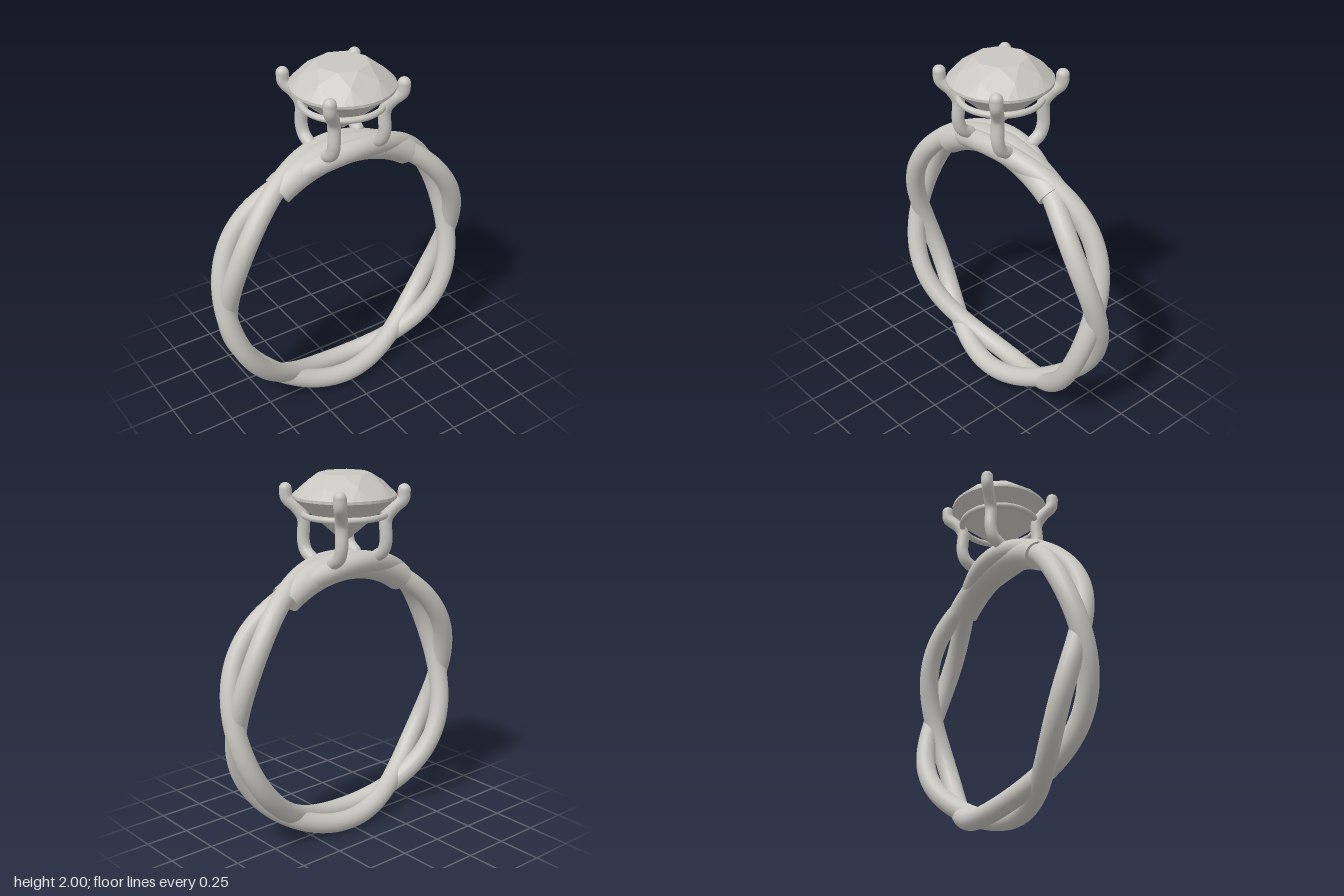
import * as THREE from 'three';

const CENTER_Y = 0.79;

// Closed path of one twisting strand; phase PI gives its partner
class StrandCurve extends THREE.Curve {
  constructor(phase) {
    super();
    this.phase = phase;
  }
  getPoint(t, target = new THREE.Vector3()) {
    const a = t * Math.PI * 2;
    const twist = 3 * a + this.phase;
    const r = 0.735 + 0.012 * Math.cos(twist);
    return target.set(r * Math.cos(a), CENTER_Y + r * Math.sin(a), 0.073 * Math.sin(twist));
  }
}

// Circular arc of the band in the xy plane
class ArcCurve extends THREE.Curve {
  constructor(radius, from, to) {
    super();
    Object.assign(this, { radius, from, to });
  }
  getPoint(t, target = new THREE.Vector3()) {
    const a = this.from + (this.to - this.from) * t;
    return target.set(this.radius * Math.cos(a), CENTER_Y + this.radius * Math.sin(a), 0);
  }
}

function addMesh(parent, name, geometry, material) {
  const mesh = new THREE.Mesh(geometry, material);
  mesh.name = name;
  parent.add(mesh);
  return mesh;
}

// Faceted round brilliant: table, stars, kites, girdle and pavilion
function gemGeometry() {
  const pos = [];
  const tri = (...pts) => pts.forEach((p) => pos.push(p.x, p.y, p.z));
  const at = (step, r, y) => {
    const a = (step / 32) * Math.PI * 2;
    return new THREE.Vector3(r * Math.sin(a), y, r * Math.cos(a));
  };
  const table = (s) => at(s, 0.137, 2);
  const mid = (s) => at(s, 0.215, 1.95);
  const rim = (s) => at(s, 0.275, 1.887);
  const lower = (s) => at(s, 0.275, 1.872);
  const culet = (s) => at(s, 0.012, 1.64);
  const top = new THREE.Vector3(0, 2, 0);
  const bottom = new THREE.Vector3(0, 1.64, 0);
  for (let s = 0; s < 32; s += 4) {
    tri(top, table(s), table(s + 4));
    tri(table(s), mid(s + 2), table(s + 4));
    tri(table(s), mid(s - 2), rim(s));
    tri(table(s), rim(s), mid(s + 2));
    for (let i = s; i < s + 4; i++) {
      tri(mid(s + 2), rim(i), rim(i + 1));
      tri(rim(i), lower(i), lower(i + 1));
      tri(rim(i), lower(i + 1), rim(i + 1));
    }
    // Pavilion: two facets per crown section
    for (let i = s; i < s + 4; i += 2) {
      tri(lower(i), culet(i), lower(i + 1));
      tri(lower(i + 1), culet(i), culet(i + 2));
      tri(lower(i + 1), culet(i + 2), lower(i + 2));
      tri(bottom, culet(i + 2), culet(i));
    }
  }
  const geo = new THREE.BufferGeometry();
  geo.setAttribute('position', new THREE.Float32BufferAttribute(pos, 3));
  geo.computeVertexNormals();
  return geo;
}

export function createModel() {
  const model = new THREE.Group();
  model.name = 'ring';
  const metal = new THREE.MeshStandardMaterial({ color: 0xc8c6c0 });
  metal.name = 'pale grey';

  // Band of two intertwined strands
  const band = new THREE.Group();
  band.name = 'twistedBand';
  model.add(band);
  [0, Math.PI].forEach((phase, i) => {
    const geo = new THREE.TubeGeometry(new StrandCurve(phase), 240, 0.055, 20, true);
    addMesh(band, `strand${i + 1}`, geo, metal);
  });

  // Solid bridge under the setting, with flat ends
  const bridge = new THREE.Group();
  bridge.name = 'bridge';
  bridge.scale.z = 1.15;
  model.add(bridge);
  const start = THREE.MathUtils.degToRad(56);
  const arc = new ArcCurve(0.716, start, Math.PI - start);
  addMesh(bridge, 'bridgeBody', new THREE.TubeGeometry(arc, 48, 0.077, 28), metal);
  [0, 1].forEach((t) => {
    const cap = addMesh(bridge, 'bridgeEnd', new THREE.CircleGeometry(0.077, 28), metal);
    const p = arc.getPoint(t);
    cap.position.copy(p);
    cap.lookAt(p.clone().add(arc.getTangent(t).multiplyScalar(t ? 1 : -1)));
  });

  // Four prongs with rounded ends
  const setting = new THREE.Group();
  setting.name = 'setting';
  model.add(setting);
  const radius = 0.034;
  for (const sx of [-1, 1]) {
    for (const sz of [-1, 1]) {
      const prong = new THREE.Group();
      prong.name = 'prong';
      setting.add(prong);
      const points = [
        [0.15, 1.55, 0.085], [0.153, 1.585, 0.135], [0.155, 1.64, 0.155],
        [0.155, 1.76, 0.155], [0.18, 1.815, 0.18], [0.216, 1.865, 0.216], [0.22, 1.912, 0.22],
      ].map(([x, y, z]) => new THREE.Vector3(x * sx, y, z * sz));
      const path = new THREE.CatmullRomCurve3(points);
      addMesh(prong, 'prongStem', new THREE.TubeGeometry(path, 48, radius, 16), metal);
      for (const end of [points[0], points[points.length - 1]]) {
        addMesh(prong, 'prongTip', new THREE.SphereGeometry(radius, 16, 12), metal).position.copy(end);
      }
    }
  }

  // Thin hoop joining the prongs
  const hoop = addMesh(setting, 'hoop', new THREE.TorusGeometry(0.215, 0.017, 12, 64), metal);
  hoop.rotation.x = Math.PI / 2;
  hoop.position.y = 1.782;

  addMesh(model, 'gem', gemGeometry(), metal);
  return model;
}
